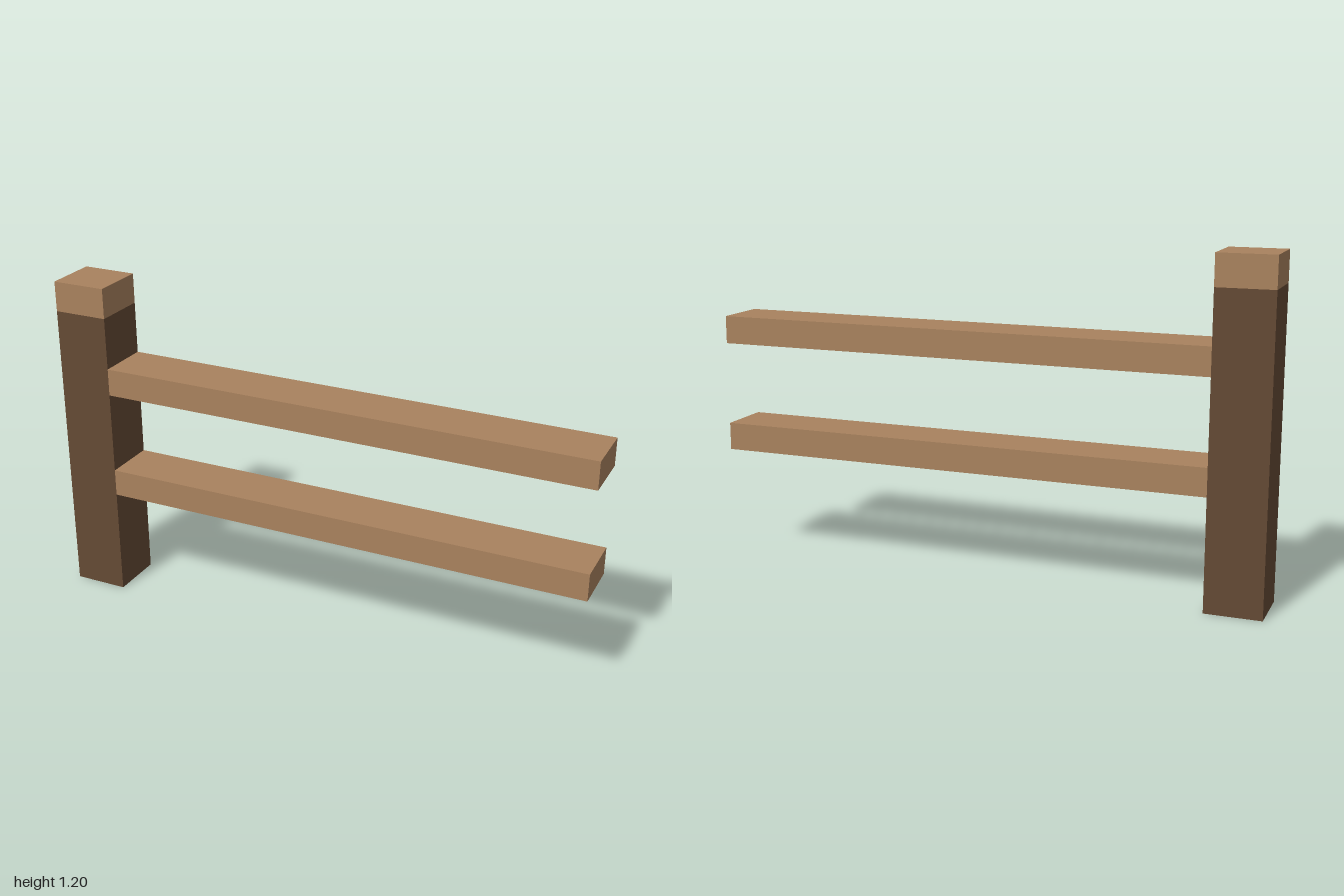
import * as THREE from 'three';

export function createModel() {
  const group = new THREE.Group();

  const lightWood = new THREE.MeshStandardMaterial({ color: 0xa9825e });
  lightWood.name = 'light cut wood';
  const darkBark = new THREE.MeshStandardMaterial({ color: 0x644a34 });
  darkBark.name = 'dark bark';

  // Box given by its x and y extents; every part is 0.2 deep
  const beam = (name, material, x0, x1, y0, y1) => {
    const mesh = new THREE.Mesh(new THREE.BoxGeometry(x1 - x0, y1 - y0, 0.2), material);
    mesh.name = name;
    mesh.position.set((x0 + x1) / 2, (y0 + y1) / 2, 0);
    group.add(mesh);
  };

  // Upright post with a pale cut top
  beam('post', darkBark, -1, -0.8, 0, 1.09);
  beam('postTop', lightWood, -1, -0.8, 1.09, 1.2);

  // Two rails reaching out from the post
  beam('lowerRail', lightWood, -0.8, 1, 0.4, 0.5);
  beam('upperRail', lightWood, -0.8, 1, 0.8, 0.9);

  return group;
}
